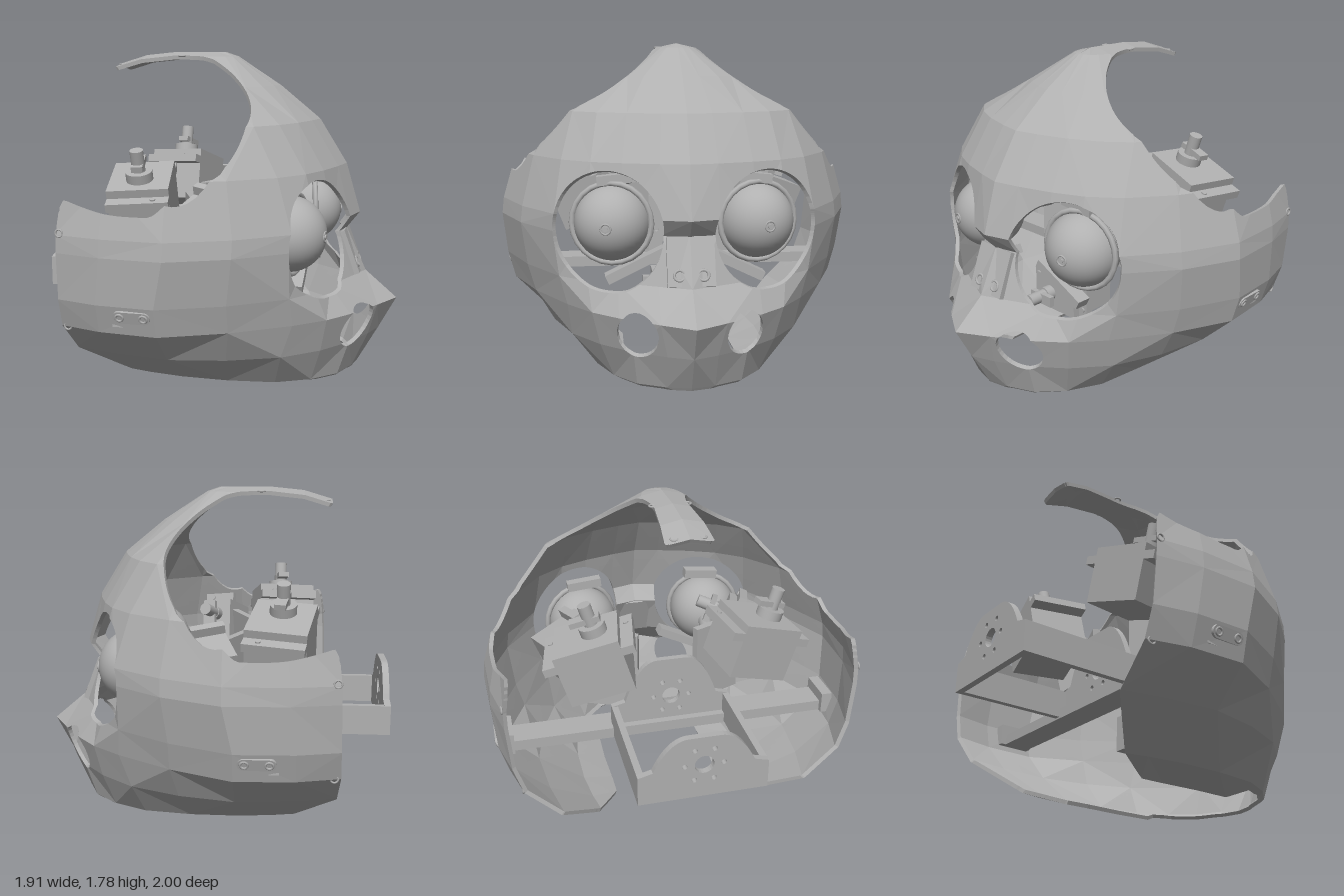
import * as THREE from 'three';

const grey = new THREE.MeshStandardMaterial({ color: 0xb0b0b0, side: THREE.DoubleSide });
grey.name = 'grey plastic';

function add(parent, name, geometry, pos = [0, 0, 0], rot = [0, 0, 0]) {
  const m = new THREE.Mesh(geometry, grey);
  m.name = name;
  m.position.set(...pos);
  m.rotation.set(...rot);
  parent.add(m);
}
const box = (x, y, z) => new THREE.BoxGeometry(x, y, z);
const cyl = (r, h) => new THREE.CylinderGeometry(r, r, h, 24);
const ring = (r, t) => new THREE.TorusGeometry(r, t, 8, 24);

// Half outline of the head at a height: x, z pairs from the face centre to the back edge
function outline(y, ...n) {
  const pts = [];
  for (let i = 0; i < n.length; i += 2) pts.push(new THREE.Vector2(n[i], n[i + 1]));
  return { y, curve: new THREE.SplineCurve(pts) };
}
const rows = [
  outline(0, .72, 0, .62, .2, .33, .31, -.1, .31, -.25, .31),
  outline(.06, .755, 0, .66, .27, .35, .47, -.15, .5, -.46, .45),
  outline(.25, .86, 0, .72, .29, .4, .6, -.15, .76, -.67, .68),
  outline(.43, .955, 0, .73, .36, .46, .62, -.15, .94, -.675, .86),
  outline(.58, .78, 0, .62, .36, .45, .66, -.15, .98, -.67, .91),
  outline(.82, .67, 0, .58, .34, .45, .69, -.1, 1, -.665, .93),
  outline(.91, .74, 0, .63, .34, .46, .68, -.1, .99, -.66, .93),
  outline(1.18, .66, 0, .57, .33, .38, .64, -.1, .91, -.64, .89),
  outline(1.42, .51, 0, .43, .3, .25, .58, -.1, .68, -.64, .64),
  outline(1.6, .29, 0, .22, .2, .05, .34, -.2, .35, -.64, .33),
  outline(1.755, .05, 0, .03, .06, -.07, .11, -.3, .11, -.64, .14),
  outline(1.78, -.02, 0, -.05, 0, -.12, 0, -.3, 0, -.64, 0),
];

// Positive where the shell is solid; the zero line is the edge of an opening
function solid([x, y, z, u, v]) {
  const back = Math.max(0, -0.28 - x);
  const oval = Math.hypot((Math.max(x, -0.28) + 0.28) / 0.5, (z - 0.53) / (0.44 - back * 0.09)) - 1;
  const crown = Math.max(oval, 1.02 + 0.5 * back * back - y);
  const eye = x > 0.25 ? Math.hypot((z - 0.41) / 0.28, (y - 0.835) / 0.305) - 1 : 1;
  const nostril = x > 0.55 ? Math.hypot((z - 0.27) / 0.1, (y - 0.345) / 0.12) - 1 : 1;
  const chin = y - (x > 0.3 ? Math.min(0.045, (x - 0.3) * 0.4) : 0) + 0.001;
  return Math.min(crown, eye, nostril, chin, 7.97 - u, v - 0.01);
}

// Faceted shell: each facet is subdivided, trimmed by solid(), and given an inner wall and rim
function shellGeometry() {
  const out = [], N = 8, T = 0.022;
  const inner = ([x, y, z]) => {
    const d = [-0.1 - x, 0.8 - y, -z], l = Math.hypot(...d);
    return [x + d[0] * T / l, y + d[1] * T / l, z + d[2] * T / l];
  };
  const tri = (a, b, c) => {
    for (const p of [a, b, c]) out.push(p[0], p[1], p[2]);
    for (const p of [a, c, b]) out.push(p[0], p[1], -p[2]);
  };
  const mix = (a, b, t) => a.map((n, i) => n + (b[i] - n) * t);
  const trim = (...t) => {
    const f = t.map(solid), poly = [], cut = [];
    t.forEach((p, i) => {
      const k = (i + 1) % 3;
      if (f[i] > 0) poly.push(p);
      if (f[i] > 0 !== f[k] > 0) {
        const q = mix(p, t[k], f[i] / (f[i] - f[k]));
        poly.push(q);
        cut.push(q);
      }
    });
    for (let i = 1; i + 1 < poly.length; i++) {
      tri(poly[0], poly[i], poly[i + 1]);
      tri(inner(poly[0]), inner(poly[i + 1]), inner(poly[i]));
    }
    if (cut.length === 2) {
      const [a, b] = cut, c = inner(a), d = inner(b);
      tri(a, b, c);
      tri(b, d, c);
    }
  };
  const facet = (a, b, c) => {
    const at = (p, q) => a.map((n, i) => n + (b[i] - n) * p / N + (c[i] - n) * q / N);
    for (let p = 0; p < N; p++) for (let q = 0; q < N - p; q++) {
      trim(at(p, q), at(p + 1, q), at(p, q + 1));
      if (p + q < N - 1) trim(at(p + 1, q), at(p + 1, q + 1), at(p, q + 1));
    }
  };
  const point = (i, j) => {
    const { x, y: z } = rows[i].curve.getPoint(j / 8);
    const droop = i > 8 ? Math.max(0, -0.42 - x) * 0.3 : 0;
    return [x, rows[i].y - droop, z, j, i];
  };
  for (let i = 0; i < rows.length - 1; i++) for (let j = 0; j < 8; j++) {
    const a = point(i, j), b = point(i, j + 1), c = point(i + 1, j + 1), d = point(i + 1, j);
    if ((i + j) % 2) { facet(a, d, b); facet(b, d, c); }
    else { facet(a, d, c); facet(a, c, b); }
  }
  const g = new THREE.BufferGeometry();
  g.setAttribute('position', new THREE.Float32BufferAttribute(out, 3));
  g.computeVertexNormals();
  return g;
}

// Servo motor: case, mounting ears and output shaft with a small arm, shaft along +y
function servo(parent, name, pos, rot, size) {
  const [w, h, d] = size, g = new THREE.Group();
  g.name = name;
  g.position.set(...pos);
  g.rotation.set(...rot);
  add(g, 'servoCase', box(w, h, d * 0.72));
  add(g, 'servoEars', box(w, 0.045, d), [0, h * 0.28, 0]);
  add(g, 'gearCover', cyl(w * 0.22, 0.05), [0, h / 2 + 0.025, d * 0.1]);
  add(g, 'shaft', cyl(0.035, 0.15), [0, h / 2 + 0.09, d * 0.1]);
  add(g, 'servoArm', box(0.06, 0.03, 0.16), [0, h / 2 + 0.08, d * 0.05]);
  for (const s of [-1, 1]) add(g, 'earScrew', cyl(0.014, 0.01), [w * 0.25, h * 0.28 + 0.025, s * d * 0.43]);
  parent.add(g);
}

// Upright bracket wall with a rounded tab and a ring of holes; lies across x
function bracketWall(top) {
  const s = new THREE.Shape();
  s.moveTo(-0.335, 0.48);
  s.lineTo(0.335, 0.48);
  s.lineTo(0.335, 0.64);
  s.lineTo(0.26, 0.66);
  s.quadraticCurveTo(0.18, top, 0.08, top);
  s.lineTo(-0.08, top);
  s.quadraticCurveTo(-0.18, top, -0.26, 0.66);
  s.lineTo(-0.335, 0.64);
  const hole = (x, y, r) => s.holes.push(new THREE.Path().absarc(x, y, r, 0, Math.PI * 2, true));
  hole(0, 0.67, 0.05);
  for (let i = 0; i < 6; i++) hole(Math.cos(i * Math.PI / 3) * 0.1, 0.67 + Math.sin(i * Math.PI / 3) * 0.1, 0.014);
  const g = new THREE.ExtrudeGeometry(s, { depth: 0.035, bevelEnabled: false, curveSegments: 12 });
  return g.rotateY(Math.PI / 2);
}

export function createModel() {
  const model = new THREE.Group();
  model.name = 'animatronicHead';
  add(model, 'headShell', shellGeometry());

  // Neck bracket, cross beam, nose bridge plate and central jaw servo
  add(model, 'neckBracketBack', bracketWall(0.83), [-0.96, 0, 0]);
  add(model, 'neckBracketFront', bracketWall(0.9), [-0.3, 0, 0]);
  add(model, 'crossBeam', box(0.16, 0.06, 1.84), [-0.26, 0.5, 0]);
  add(model, 'noseBridgePlate', box(0.035, 0.25, 0.24), [0.695, 0.7, 0], [0, 0, 0.36]);
  servo(model, 'jawServo', [0.1, 0.4, 0], [0, 0, -Math.PI / 2], [0.2, 0.3, 0.42]);

  for (const s of [1, -1]) {
    add(model, 'neckBracketSide', box(0.68, 0.16, 0.035), [-0.62, 0.56, s * 0.318]);
    add(model, 'beamEnd', box(0.2, 0.12, 0.06), [-0.27, 0.53, s * 0.91]);

    // Side slot plate with two screws, following the slope of the shell
    const slot = new THREE.Shape();
    slot.absarc(0.062, 0, 0.032, -Math.PI / 2, Math.PI / 2);
    slot.absarc(-0.062, 0, 0.032, Math.PI / 2, Math.PI * 1.5);
    const plate = new THREE.ExtrudeGeometry(slot, { depth: 0.02, bevelEnabled: false }).translate(0, 0, -0.01);
    add(model, 'slotPlate', plate, [-0.265, 0.53, s * 0.96], [s * 0.31, 0, 0]);
    for (const x of [-0.325, -0.205]) {
      add(model, 'slotScrew', ring(0.018, 0.006), [x, 0.527, s * 0.97], [s * 0.31, 0, 0]);
    }
    // Fixing holes near the back edge and on the crown strap, and nose screws
    for (const [y, z] of [[0.92, 0.935], [0.43, 0.867]]) {
      add(model, 'edgeHole', ring(0.018, 0.005), [-0.635, y, s * z]);
    }
    for (const [x, y, z] of [[-0.6, 1.71, 0.07], [-0.25, 1.758, 0.09]]) {
      add(model, 'strapHole', ring(0.018, 0.005), [x, y, s * z], [Math.PI / 2, 0, 0]);
    }
    add(model, 'noseScrew', ring(0.026, 0.007), [0.736, 0.64, s * 0.06], [-Math.PI / 2, 1.211, 0]);

    // Eye with its holder
    const eye = new THREE.Group();
    eye.name = 'eye';
    eye.position.set(0.4, 0.85, s * 0.38);
    eye.rotation.y = -s * 0.2;
    add(eye, 'eyeball', new THREE.SphereGeometry(0.2, 40, 28));
    add(eye, 'eyeRing', ring(0.21, 0.016), [0.03, 0, 0], [0, Math.PI / 2, 0]);
    add(eye, 'pupilRim', ring(0.026, 0.005), [0.198, 0, 0], [0, Math.PI / 2, 0]);
    add(eye, 'pupilScrew', cyl(0.012, 0.02), [0.196, 0, 0], [0, 0, Math.PI / 2]);
    add(eye, 'eyeAxle', cyl(0.04, 0.25), [-0.28, 0, 0], [0, 0, Math.PI / 2]);
    model.add(eye);
    add(model, 'eyeArm', box(0.08, 0.05, 0.34), [0.44, 0.63, s * 0.26], [s * 0.45, 0, 0]);
    add(model, 'eyeBrowArm', box(0.06, 0.05, 0.2), [0.41, 1.08, s * 0.36], [s * 0.1, 0, 0]);
    add(model, 'servoMountPlate', box(0.04, 0.45, 0.3), [-0.14, 0.79, s * 0.3], [0, s * 0.4, 0]);

    // Upper and eye servos
    servo(model, 'upperServo', [-0.37, 1.0, s * 0.43], [s * 0.3, s * 0.18, 0], [0.32, 0.3, 0.48]);
    servo(model, 'eyeServo', [-0.02, 0.91, s * 0.52], [-s * 1.2, 0, -0.35], [0.18, 0.3, 0.34]);
  }
  return model;
}
